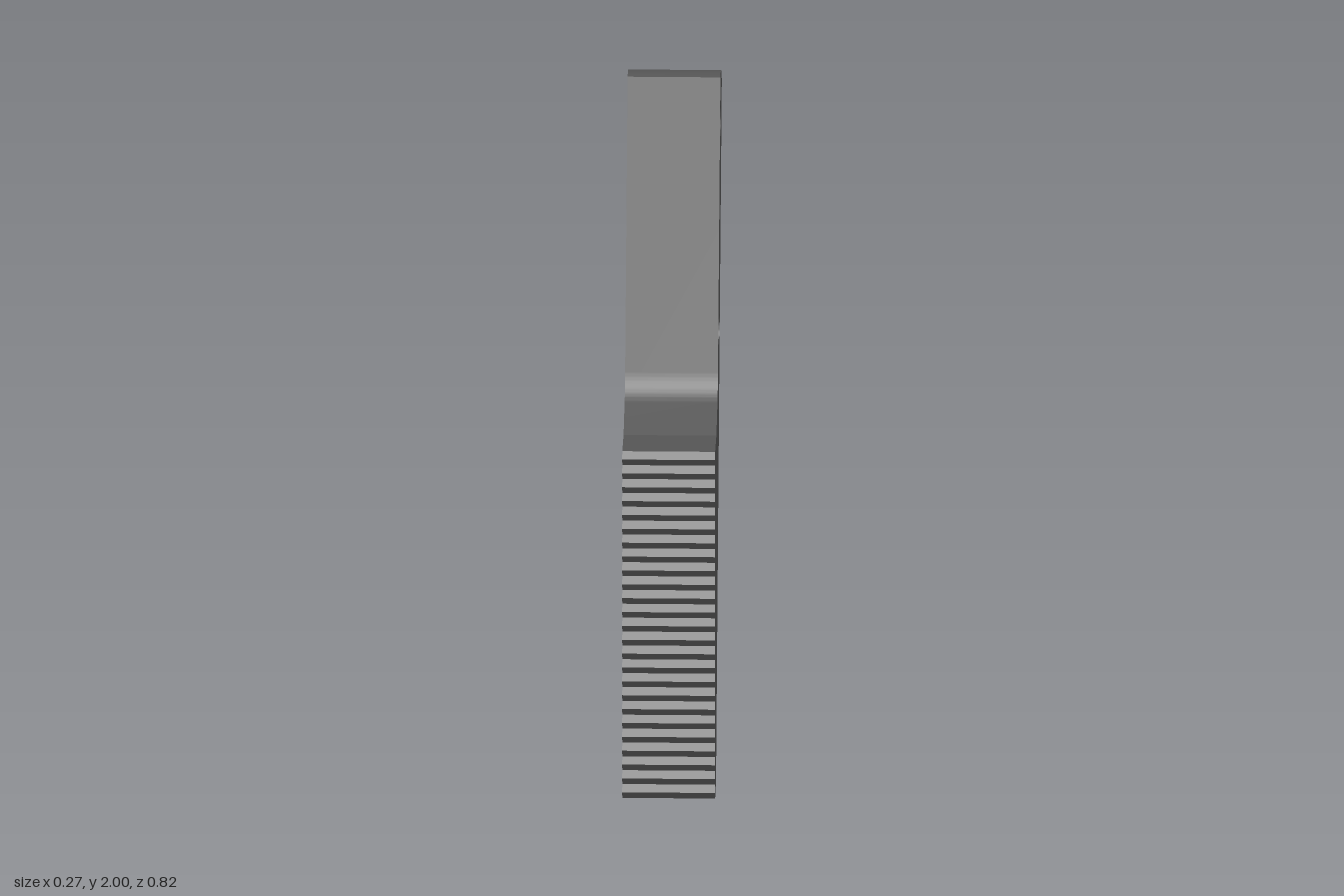
import * as THREE from 'three';
import { toCreasedNormals } from 'three/addons/utils/BufferGeometryUtils.js';

const WIDTH = 0.27;
const TEETH = 25;
const JAW_TOP = 1.06;
const VALLEY = 0.396, TIP = 0.409;

// Side profile drawn in (-z, y)
function sideProfile() {
  const s = new THREE.Shape();
  s.moveTo(-VALLEY, 0);
  s.lineTo(-0.335, 0);
  // toe chamfer and long sloping back
  s.lineTo(-0.27, 0.065);
  s.lineTo(0.143, 1.23);
  s.lineTo(0.408, 1.936);
  // rounded head
  s.absarc(0.275, 1.83, 0.17, Math.atan2(0.106, 0.133), Math.atan2(0.167, -0.032), false);
  // handle front, fillet and shoulder
  s.lineTo(-0.053, 1.197);
  s.quadraticCurveTo(-0.073, 1.14, -0.117, 1.118);
  s.lineTo(-0.244, JAW_TOP);
  s.lineTo(-VALLEY, JAW_TOP);
  // serrated front edge
  const pitch = JAW_TOP / TEETH;
  for (let i = 0; i < TEETH; i++) {
    const y = JAW_TOP - i * pitch;
    s.lineTo(-TIP, y - pitch / 2);
    if (i < TEETH - 1) s.lineTo(-VALLEY, y - pitch);
  }
  s.closePath();
  // two cross pin holes
  for (const [u, y] of [[0.28, 1.852], [0.066, 1.285]]) {
    const hole = new THREE.Path();
    hole.absarc(u, y, 0.047, 0, Math.PI * 2, true);
    s.holes.push(hole);
  }
  return s;
}

export function createModel() {
  const group = new THREE.Group();
  group.name = 'serratedJaw';
  let geometry = new THREE.ExtrudeGeometry(sideProfile(), {
    depth: WIDTH, bevelEnabled: false, curveSegments: 20,
  });
  geometry.translate(0, 0, -WIDTH / 2);
  geometry.rotateY(Math.PI / 2);
  geometry = toCreasedNormals(geometry, 0.4);
  const jaw = new THREE.Mesh(geometry, new THREE.MeshStandardMaterial({ color: 0x555555 }));
  jaw.name = 'jawBody';
  group.add(jaw);
  return group;
}
